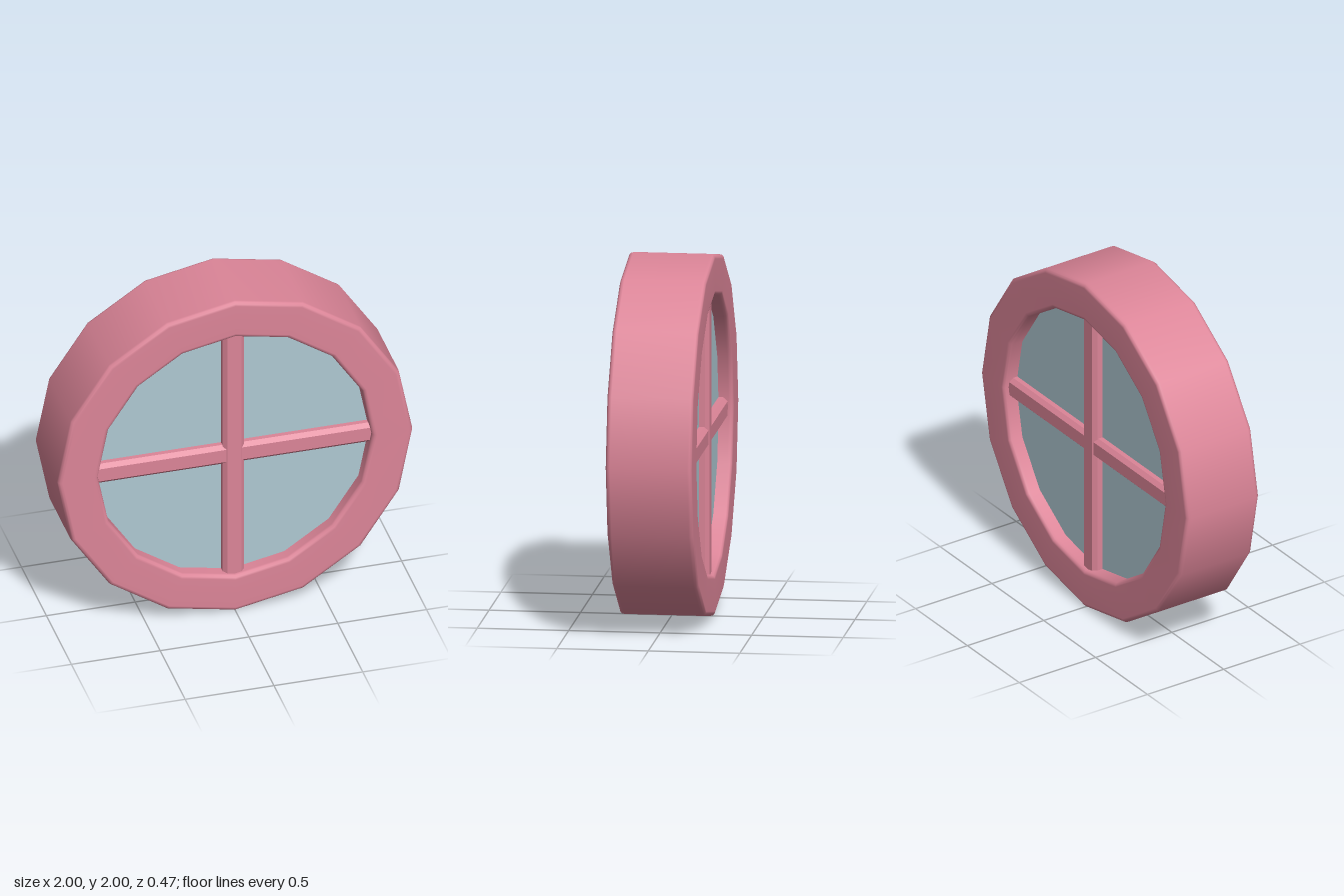
import * as THREE from 'three';

const SIDES = 16;
const OUTER = 1, INNER = 0.772, HALF_DEPTH = 0.236, BEVEL = 0.025;

// Rounded ring cross-section, listed as (radius, depth) and closed on the inner wall
function ringProfile() {
  const pts = [new THREE.Vector2(INNER, 0)];
  const corners = [
    [INNER + BEVEL, -HALF_DEPTH + BEVEL, Math.PI],
    [OUTER - BEVEL, -HALF_DEPTH + BEVEL, Math.PI * 1.5],
    [OUTER - BEVEL, HALF_DEPTH - BEVEL, 0],
    [INNER + BEVEL, HALF_DEPTH - BEVEL, Math.PI * 0.5],
  ];
  for (const [r, d, start] of corners) {
    for (let i = 0; i <= 3; i++) {
      const a = start + (i / 3) * Math.PI / 2;
      pts.push(new THREE.Vector2(r + BEVEL * Math.cos(a), d + BEVEL * Math.sin(a)));
    }
  }
  pts.push(new THREE.Vector2(INNER, 0));
  return pts;
}

// Straight bar along y with chamfered long edges
function barGeometry(width, depth, length, chamfer) {
  const w = width / 2, d = depth / 2, c = chamfer;
  const s = new THREE.Shape([
    [w, -d + c], [w, d - c], [w - c, d], [-w + c, d],
    [-w, d - c], [-w, -d + c], [-w + c, -d], [w - c, -d],
  ].map(([x, y]) => new THREE.Vector2(x, y)));
  const g = new THREE.ExtrudeGeometry(s, { depth: length, bevelEnabled: false });
  g.translate(0, 0, -length / 2);
  g.rotateX(Math.PI / 2);
  return g;
}

export function createModel() {
  const model = new THREE.Group();
  model.name = 'roundWindow';
  const pink = new THREE.MeshStandardMaterial({ color: 0xdc8598 });
  pink.name = 'pinkFrame';
  const glass = new THREE.MeshStandardMaterial({ color: 0xaec8d2 });
  glass.name = 'paleBlueGlass';

  const add = (name, geometry, material) => {
    const mesh = new THREE.Mesh(geometry, material);
    mesh.name = name;
    mesh.position.y = 1;
    model.add(mesh);
    return mesh;
  };

  // Outer frame ring
  const ring = new THREE.LatheGeometry(ringProfile(), SIDES);
  ring.rotateX(Math.PI / 2);
  add('frameRing', ring, pink);

  // Thick glass pane, its rim set into the ring
  const pane = new THREE.CylinderGeometry(INNER + 0.01, INNER + 0.01, 0.31, SIDES);
  pane.rotateX(Math.PI / 2);
  add('glassPane', pane, glass);

  // Crossed bars, showing on both faces
  const length = 2 * INNER + 0.03;
  add('verticalBar', barGeometry(0.122, 0.42, length, 0.022), pink);
  const cross = add('horizontalBar', barGeometry(0.122, 0.41, length, 0.022), pink);
  cross.rotation.z = Math.PI / 2;
  cross.position.y = 0.995;

  return model;
}
